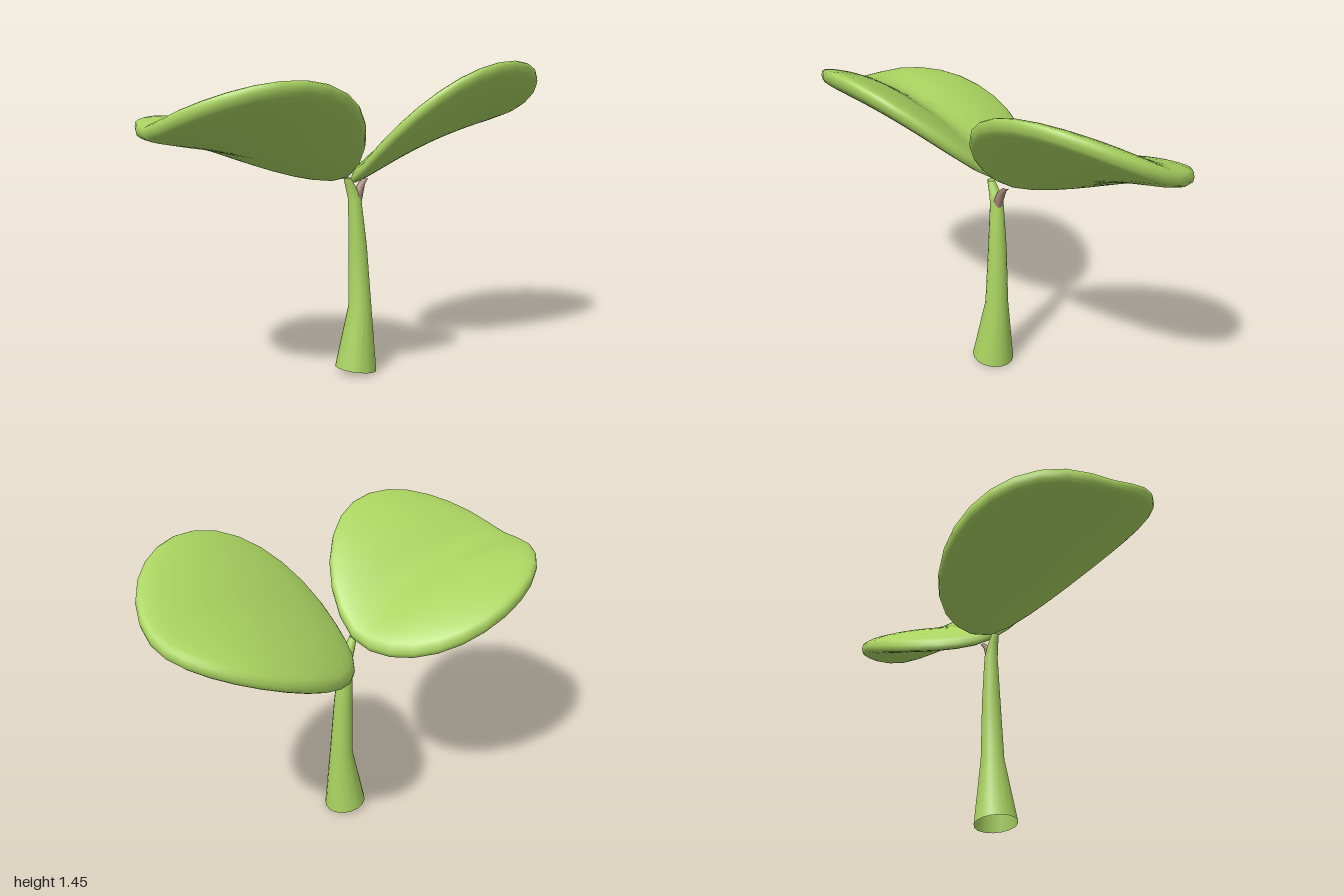
import * as THREE from 'three';
import { mergeVertices } from 'three/addons/utils/BufferGeometryUtils.js';

const leafGreen = new THREE.MeshStandardMaterial({ color: 0xa9d360, side: THREE.DoubleSide });
leafGreen.name = 'leafGreen';
const twigBrown = new THREE.MeshStandardMaterial({ color: 0xa08478 });
twigBrown.name = 'twigBrown';

// Weld the seam so the normals run smoothly across it
function smooth(geometry) {
  geometry.deleteAttribute('uv');
  geometry.deleteAttribute('normal');
  const welded = mergeVertices(geometry, 1e-4);
  welded.computeVertexNormals();
  return welded;
}

// Thick round leaf with a blunt rim: a flattened sphere laid over a twisted, creased surface
function makeLeaf(name, { side, inner, outer, zMid, rz, skew, y0, y1, bend, tilt, twist, fold, droop, thick, groove }) {
  const geometry = new THREE.SphereGeometry(1, 28, 24);
  const p = geometry.attributes.position;
  const cx = (inner + outer) / 2, rx = (outer - inner) / 2;
  for (let i = 0; i < p.count; i++) {
    const sx = p.getX(i), sy = p.getY(i), sz = p.getZ(i);
    const u = (sx * side + 1) / 2;                  // 0 at the stem, 1 at the tip
    const z = zMid + rz * sz + skew * sx;
    const rise = (y1 - y0) * (1 - Math.pow(Math.max(0, 1 - u), bend));
    const slope = (tilt + twist * (1 - 2 * u)) * z;
    const crease = fold * (z + Math.sqrt(z * z + 0.006)) / 2;
    const sag = z < 0 ? -droop * z * z : 0;
    const body = thick * Math.sign(sy) * Math.pow(Math.abs(sy), 0.6);
    const vein = groove * Math.max(0, sy) * Math.exp(-z * z / 0.014);   // top side only
    p.setXYZ(i, side * cx + rx * sx, y0 + rise + slope + crease + sag + body - vein, z);
  }
  const mesh = new THREE.Mesh(smooth(geometry), leafGreen);
  mesh.name = name;
  return mesh;
}

// Round tapering tube through rings of [x, y, z, radius, tilt]
function makeStalk(name, rings, material, sides = 16) {
  const positions = [], index = [];
  rings.forEach(([x, y, z, r, tilt = 0], k) => {
    for (let i = 0; i < sides; i++) {
      const a = (i / sides) * Math.PI * 2;
      positions.push(x + r * Math.cos(a), y + tilt * Math.cos(a), z + r * Math.sin(a));
      if (k === 0) continue;
      const j = (i + 1) % sides, lo = (k - 1) * sides, hi = k * sides;
      index.push(lo + i, hi + i, lo + j, lo + j, hi + i, hi + j);
    }
  });
  const geometry = new THREE.BufferGeometry();
  geometry.setAttribute('position', new THREE.Float32BufferAttribute(positions, 3));
  geometry.setIndex(index);
  geometry.computeVertexNormals();
  const mesh = new THREE.Mesh(geometry, material);
  mesh.name = name;
  return mesh;
}

export function createModel() {
  const group = new THREE.Group();
  group.name = 'seedling';

  // Main stem, flared at the slanted open foot, leaning into the right leaf
  group.add(makeStalk('stem', [
    [0.004, 0.016, 0.042, 0.098, -0.015],
    [0.028, 0.32, 0.04, 0.054],
    [0.022, 0.6, 0.03, 0.043],
    [0.01, 0.82, 0.022, 0.031],
    [-0.012, 0.88, 0.02, 0.024],
    [-0.03, 0.92, 0.02, 0.017],
  ], leafGreen));

  // Short brown twig holding the left leaf
  group.add(makeStalk('twig', [
    [0.018, 0.79, 0.026, 0.02],
    [0.026, 0.84, 0.026, 0.023],
    [0.045, 0.885, 0.022, 0.018],
    [0.07, 0.91, 0.018, 0.014],
  ], twigBrown, 10));

  group.add(makeLeaf('rightLeaf', {
    side: -1, inner: 0.005, outer: 1, zMid: 0, rz: 0.47, skew: 0, y0: 0.92, y1: 1.155,
    bend: 2.1, tilt: 0, twist: 0.17, fold: 0.56, droop: 0.15, thick: 0.073, groove: 0.03,
  }));
  group.add(makeLeaf('leftLeaf', {
    side: 1, inner: 0.035, outer: 0.995, zMid: 0.04, rz: 0.4, skew: -0.02, y0: 0.915, y1: 1.2,
    bend: 2, tilt: 0.33, twist: 0.15, fold: 0.33, droop: 0.1, thick: 0.07, groove: 0.015,
  }));
  return group;
}
